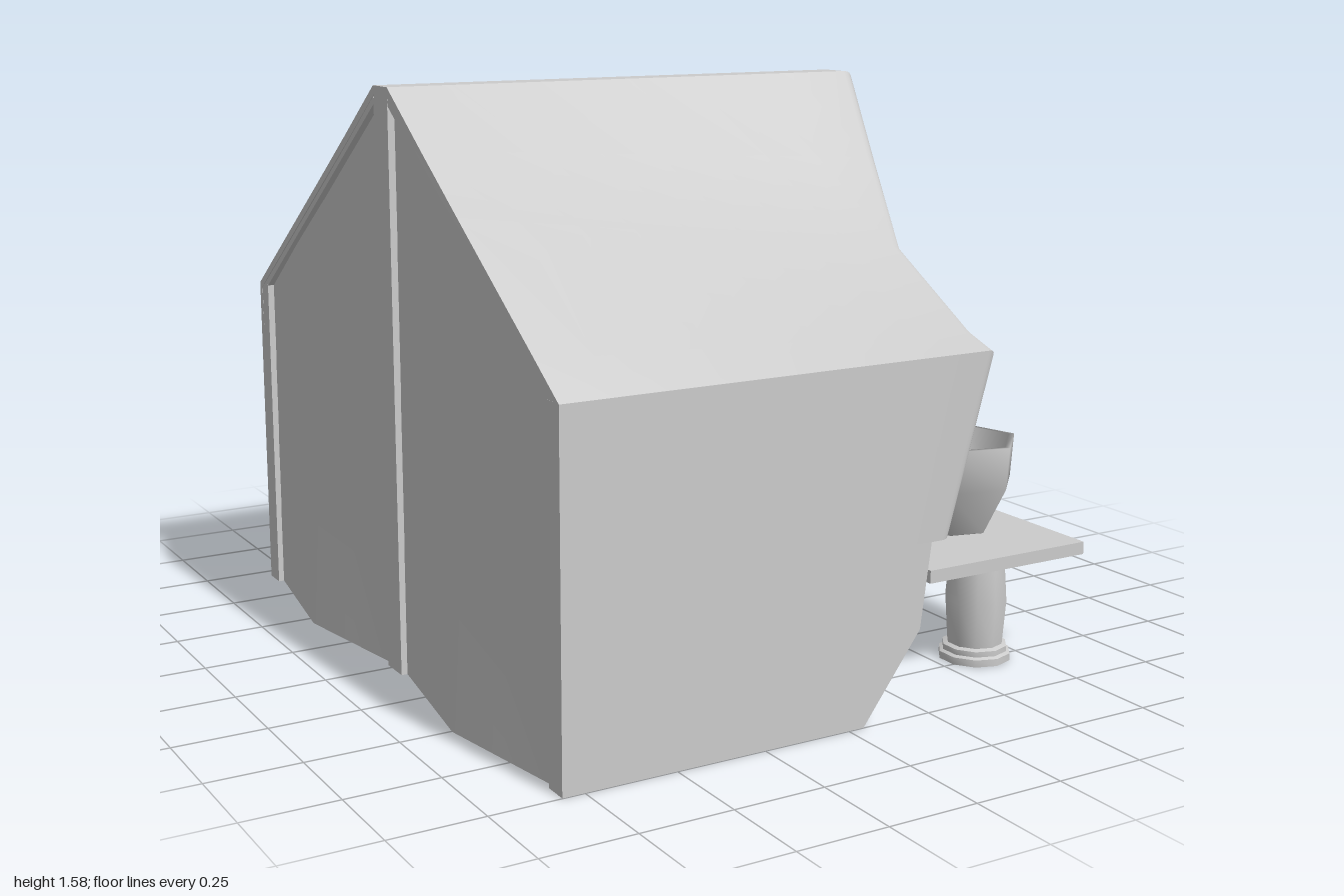
import * as THREE from 'three';
import { toCreasedNormals } from 'three/addons/utils/BufferGeometryUtils.js';

const MID = 0.025;   // z of the ridge line
const BACK = -0.81;  // x of the rear edge
const COLS = 8;
const mat = new THREE.MeshStandardMaterial({ color: 0xcccccc, side: THREE.DoubleSide });
const V = (x, y, z) => new THREE.Vector3(x, y, z);

function add(parent, geo, name, x = 0, y = 0, z = 0) {
  const m = new THREE.Mesh(geo, mat);
  m.name = name;
  m.position.set(x, y, z);
  parent.add(m);
  return m;
}

// Skin a list of equally long point rows
function skin(rows) {
  const n = rows[0].length, pos = [], idx = [];
  rows.forEach(r => r.forEach(p => pos.push(p.x, p.y, p.z)));
  for (let j = 0; j < rows.length - 1; j++) {
    for (let i = 0; i < n - 1; i++) {
      const a = j * n + i, b = a + n;
      idx.push(a, a + 1, b, a + 1, b + 1, b);
    }
  }
  const g = new THREE.BufferGeometry();
  g.setAttribute('position', new THREE.Float32BufferAttribute(pos, 3));
  g.setIndex(idx);
  g.computeVertexNormals();
  return g;
}

// Skin with thickness: every row becomes a closed loop of outer and inner points
function shell(rows, thickness) {
  const normals = skin(rows).attributes.normal, n = rows[0].length;
  const inner = rows.map((r, j) => r.map((p, i) =>
    V(0, 0, 0).fromBufferAttribute(normals, j * n + i).multiplyScalar(-thickness).add(p)));
  const loop = (o, k) => [...o, ...k.slice().reverse(), o[0]];
  const loops = rows.map((r, j) => loop(r, inner[j]));
  const first = rows[0], last = rows[rows.length - 1];
  return toCreasedNormals(skin([loop(first, first), ...loops, loop(last, last)]), 0.55);
}

// The side wall at -z billows outward at its middle and draws in at the front
function billow(p, side) {
  if (side < 0 && p.y < 0.93) {
    const along = p.x < -0.25 ? (p.x - BACK) / 0.56 : (0.13 - p.x) / 0.38;
    const up = Math.min(1, p.y / 0.45, (0.93 - p.y) / 0.36);
    p.z -= 0.05 * along * up;
  }
  return p;
}

// Cloth rows from wall to ridge: front edge [x, y, d], rear [y, d],
// opening edge on the +z half and on the -z half [x, y, d]; d = distance from the ridge plane
const CLOTH = [
  [[0.30, 0.455, 0.975], [0.455, 0.975], [0.32, 0.465, 0.93], [0.41, 0.47, 0.95]],
  [[0.37, 0.70, 0.975], [0.70, 0.975], [0.33, 0.49, 0.83], [0.415, 0.53, 0.86]],
  [[0.435, 0.93, 0.975], [0.93, 0.975], [0.34, 0.525, 0.72], [0.415, 0.585, 0.76]],
  [[0.448, 0.96, 0.86], [1.01, 0.86], [0.37, 0.565, 0.56], [0.45, 0.605, 0.62]],
  [[0.525, 1.12, 0.455], [1.288, 0.455], [0.40, 0.60, 0.43], [0.475, 0.63, 0.49]],
  [[0.583, 1.345, 0.25], [1.43, 0.25], [0.49, 0.785, 0.245], [0.49, 0.78, 0.265]],
  [[0.643, 1.575, 0.045], [1.575, 0.045], [0.60, 1.03, 0], [0.60, 1.03, 0]],
];

// One row: straight over the roof, rounded at the front edge, then down the flap
function clothRow([f, b, ip, im], side) {
  const at = (x, y, d) => V(x, y, MID + side * d);
  const F = at(...f), B = at(BACK, ...b), I = at(...(side > 0 ? ip : im));
  const P = F.clone().lerp(B, 0.02);
  const Q = F.clone().lerp(I, Math.min(0.5, 0.025 / F.distanceTo(I)));
  const pts = [];
  for (let i = 0; i < COLS; i++) pts.push(B.clone().lerp(P, i / COLS));
  pts.push(...new THREE.QuadraticBezierCurve3(P, F, Q).getPoints(4));
  for (let i = 1; i <= 4; i++) pts.push(Q.clone().lerp(I, i / 4));
  return pts.map(p => billow(p, side));
}

// Lower side wall, cut away towards the front
function lowerWall(side) {
  const rows = [[0.045, 0], [0.215, 0.23], [0.245, 0.455]].map(([x, y]) => {
    const r = [];
    for (let i = 0; i <= COLS; i++) {
      r.push(billow(V(THREE.MathUtils.lerp(BACK, x, i / COLS), y, MID + side * 0.975), side));
    }
    return r;
  });
  return shell(side > 0 ? rows : rows.reverse(), 0.022);
}

// Rear panel between centre and corner post, bulging at its foot
function rearPanel(side) {
  const rows = [];
  for (let j = 0; j <= 4; j++) {
    const d = 0.03 + 0.9 * j / 4;
    const top = 1.55 - Math.max(0, d - 0.045) * 0.693;
    const row = [];
    for (let i = 0; i <= 4; i++) {
      const y = top * i / 4;
      const bulge = 0.07 * (1 - Math.abs(j / 2 - 1)) * Math.max(0, 1 - y / 1.2);
      row.push(V(-0.79 - bulge, y, MID + side * d));
    }
    rows.push(row);
  }
  return toCreasedNormals(skin(side > 0 ? rows : rows.reverse()), 0.5);
}

function lathe(profile, sides, start) {
  return new THREE.LatheGeometry(profile.map(p => new THREE.Vector2(...p)), sides, start);
}

export function createModel() {
  const model = new THREE.Group();

  // Tent
  const tent = new THREE.Group();
  tent.name = 'tent';
  model.add(tent);
  const rows = [
    ...CLOTH.map(c => clothRow(c, 1)),
    ...CLOTH.slice().reverse().map(c => clothRow(c, -1)),
  ];
  add(tent, shell(rows, 0.022), 'roofAndFlap');
  const slope = Math.atan2(0.645, 0.93);
  for (const s of [1, -1]) {
    const side = s > 0 ? 'left' : 'right';
    add(tent, lowerWall(s), side + 'LowerWall');
    add(tent, rearPanel(s), side + 'RearPanel');
    add(tent, new THREE.BoxGeometry(0.045, 0.93, 0.066), side + 'CornerPost', -0.787, 0.465, MID + s * 0.941);
    // Rafter under the rear edge of the roof
    const rafter = add(tent, new THREE.BoxGeometry(0.04, 0.03, 1.1), side + 'Rafter', -0.789, 1.23, MID + s * 0.5);
    rafter.rotation.x = s * slope;
  }
  add(tent, new THREE.BoxGeometry(0.045, 1.56, 0.09), 'centrePost', -0.787, 0.78, MID);

  // Bench with two turned legs
  const bench = new THREE.Group();
  bench.name = 'bench';
  model.add(bench);
  add(bench, new THREE.BoxGeometry(0.525, 0.035, 1.71), 'benchTop', 0.597, 0.317, 0.032);
  const leg = toCreasedNormals(lathe([
    [0.1, 0], [0.1, 0.02], [0.09, 0.025], [0.09, 0.04], [0.077, 0.045],
    [0.086, 0.17], [0.076, 0.3],
  ], 10, 0), 0.7);
  for (const z of [0.722, -0.675]) add(bench, leg, 'benchLeg', 0.625, 0, z);

  // Hollow six-sided pots
  const pot = lathe([
    [0, 0], [0.1, 0], [0.1, 0.001], [0.168, 0.135], [0.177, 0.255],
    [0.16, 0.255], [0.15, 0.14], [0.085, 0.03], [0, 0.03],
  ], 6, Math.PI * 0.09);
  for (const z of [-0.575, -0.018, 0.59]) add(model, pot, 'pot', 0.647, 0.335, z);

  return model;
}
